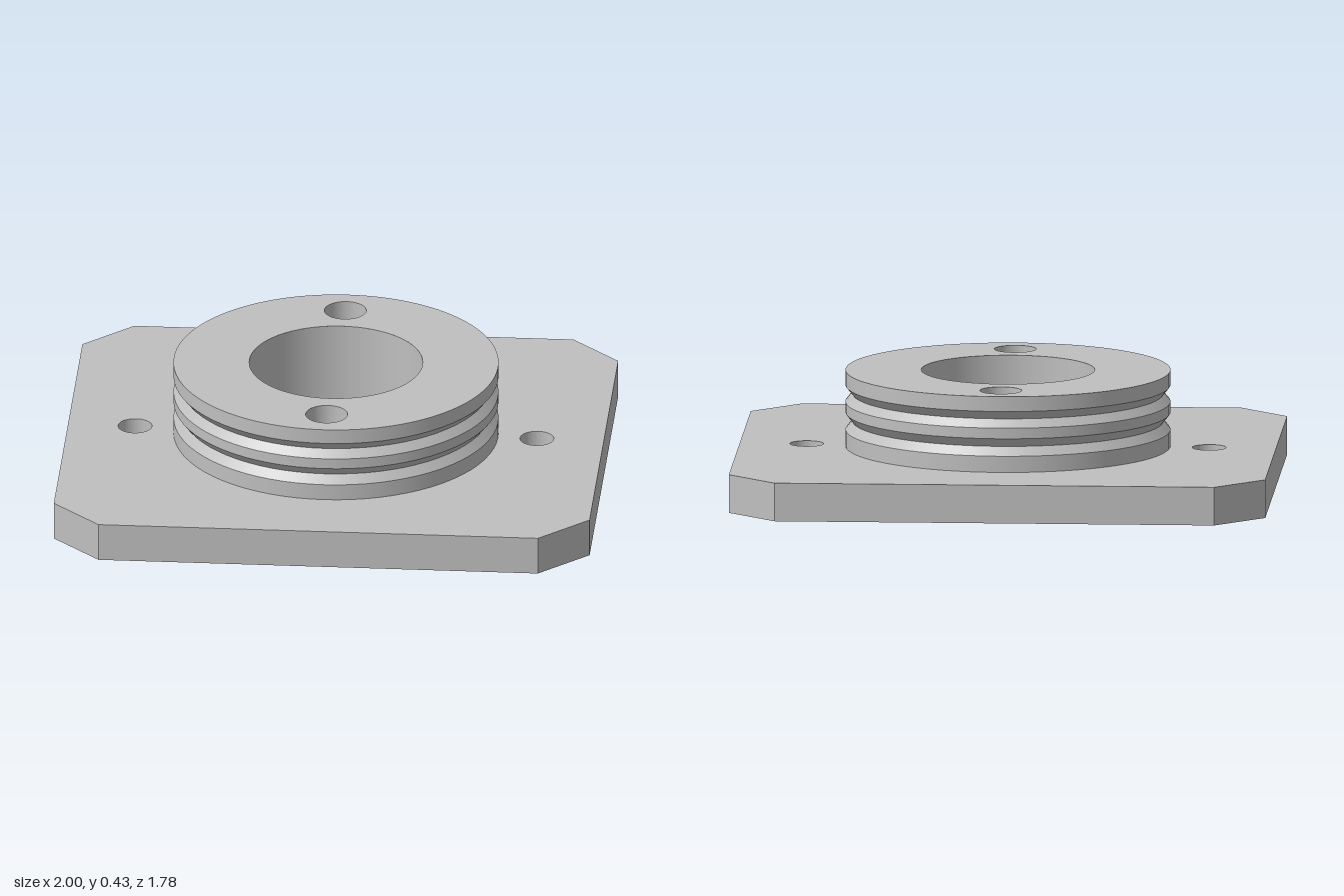
import * as THREE from 'three';
import { mergeGeometries, toCreasedNormals } from 'three/addons/utils/BufferGeometryUtils.js';

const SEG = 72;
const PLATE_TOP = 0.144, HUB_TOP = 0.43;
const HUB_R = 0.605, BORE_R = 0.323, GROOVE_R = 0.579;
const PIN_R = 0.078, PIN_Z = 0.465;
const BOLT_R = 0.063, BOLT_X = 0.75;

function circle(PathType, x, y, r) {
  const path = new PathType();
  path.absarc(x, y, r, 0, Math.PI * 2, false);
  return path;
}

// Each profile segment is turned separately so the ridges stay sharp.
// Rising profiles face outwards, falling profiles face inwards.
function turned(profile) {
  const bands = [];
  for (let i = 0; i + 1 < profile.length; i++) {
    const pts = [profile[i], profile[i + 1]].map(([r, y]) => new THREE.Vector2(r, y));
    bands.push(new THREE.LatheGeometry(pts, SEG));
  }
  return mergeGeometries(bands);
}

export function createModel() {
  const model = new THREE.Group();
  model.name = 'flangedHub';
  const steel = new THREE.MeshStandardMaterial({ color: 0xbfbfbf });
  steel.name = 'grey steel';

  const add = (name, geometry, parent) => {
    const mesh = new THREE.Mesh(geometry, steel);
    mesh.name = name;
    parent.add(mesh);
    return mesh;
  };

  // Base plate with chamfered corners, centre bore and two bolt holes
  const X = 1, Z = 0.89, CX = 0.82, CZ = 0.712;
  const outline = new THREE.Shape([
    [CX, -Z], [X, -CZ], [X, CZ], [CX, Z], [-CX, Z], [-X, CZ], [-X, -CZ], [-CX, -Z],
  ].map(([x, y]) => new THREE.Vector2(x, y)));
  outline.holes.push(
    circle(THREE.Path, 0, 0, BORE_R),
    circle(THREE.Path, BOLT_X, 0, BOLT_R),
    circle(THREE.Path, -BOLT_X, 0, BOLT_R),
  );
  const plate = new THREE.ExtrudeGeometry(outline, {
    depth: PLATE_TOP, bevelEnabled: false, curveSegments: SEG,
  });
  plate.rotateX(-Math.PI / 2);
  add('basePlate', toCreasedNormals(plate, 0.4), model);

  const hub = new THREE.Group();
  hub.name = 'hub';
  model.add(hub);

  // Outer wall with two V grooves
  add('groovedWall', turned([
    [HUB_R, PLATE_TOP],
    [HUB_R, 0.205], [GROOVE_R, 0.238], [HUB_R, 0.271],
    [HUB_R, 0.311], [GROOVE_R, 0.342], [HUB_R, 0.374],
    [HUB_R, HUB_TOP],
  ]), hub);

  // Bore wall
  add('boreWall', turned([[BORE_R, HUB_TOP], [BORE_R, PLATE_TOP]]), hub);

  // Top face with the bore and two blind pin holes
  const face = circle(THREE.Shape, 0, 0, HUB_R);
  face.holes.push(
    circle(THREE.Path, 0, 0, BORE_R),
    circle(THREE.Path, 0, PIN_Z, PIN_R),
    circle(THREE.Path, 0, -PIN_Z, PIN_R),
  );
  const top = new THREE.ShapeGeometry(face, SEG);
  top.rotateX(-Math.PI / 2).translate(0, HUB_TOP, 0);
  add('hubTop', top, hub);

  // Pin holes run down to the plate, which forms their floor
  for (const side of [1, -1]) {
    const wall = turned([[PIN_R, HUB_TOP], [PIN_R, PLATE_TOP]]);
    add(side > 0 ? 'frontPinHole' : 'backPinHole', wall, hub).position.z = side * PIN_Z;
  }

  return model;
}
